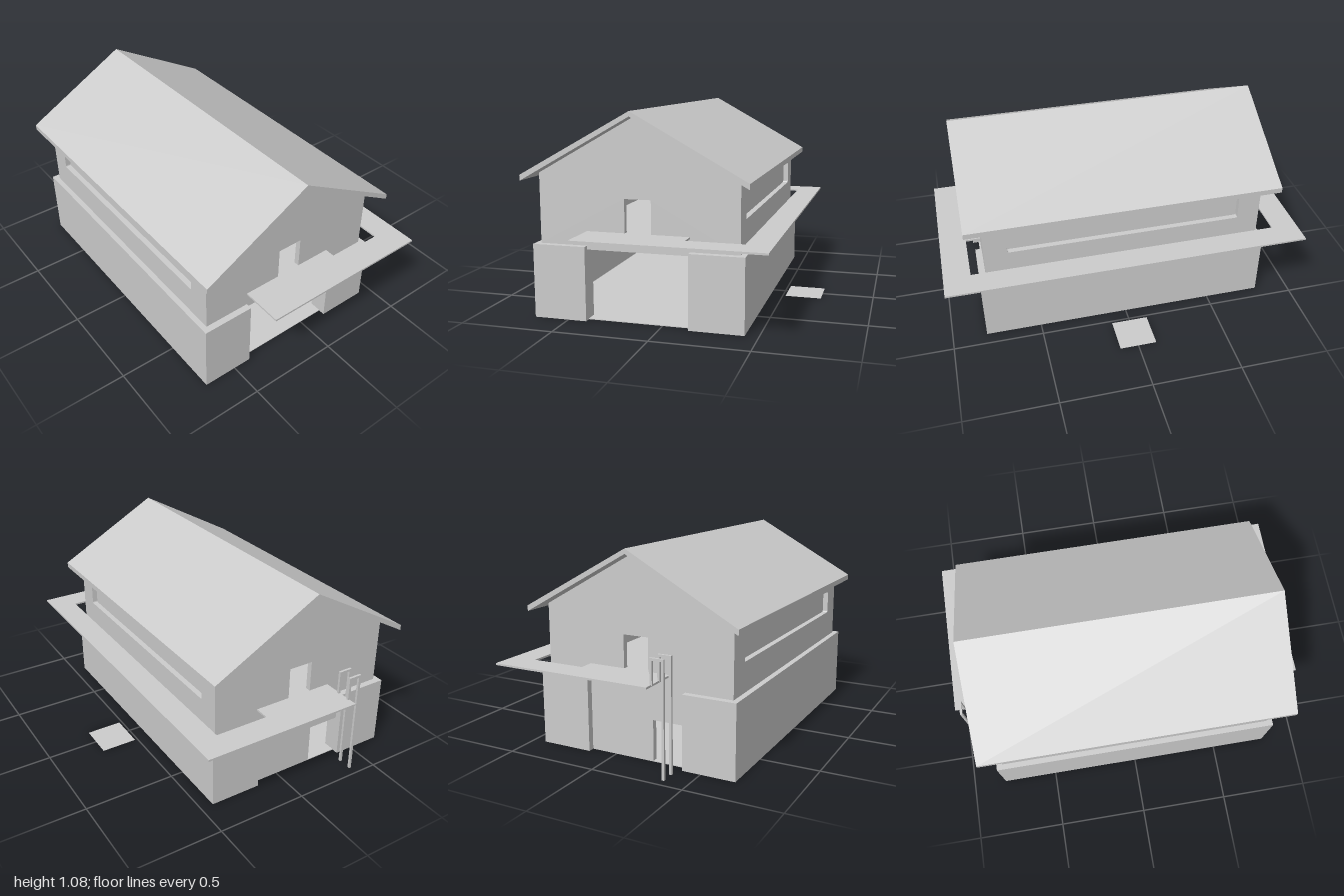
import * as THREE from 'three';

const mat = new THREE.MeshStandardMaterial({ color: 0xcccccc, flatShading: true });
const thinMat = new THREE.MeshStandardMaterial({ color: 0xcccccc, side: THREE.DoubleSide });

const RIDGE_X = -0.128;
const WALL = { x0: -0.655, x1: 0.4, y0: 0.39, eave: 0.757, peak: 1.055, z: 0.775 };
const BASE = { x0: -0.685, x1: 0.43, h: 0.39, z: 0.81 };
const BAY = { x0: -0.4, x1: 0.145 };
const T = 0.03; // wall thickness

function add(parent, name, geometry, material = mat) {
  const mesh = new THREE.Mesh(geometry, material);
  mesh.name = name;
  parent.add(mesh);
  return mesh;
}

// Box given by its minimum and maximum on each axis
function box(parent, name, x0, x1, y0, y1, z0, z1) {
  const mesh = add(parent, name, new THREE.BoxGeometry(x1 - x0, y1 - y0, z1 - z0));
  mesh.position.set((x0 + x1) / 2, (y0 + y1) / 2, (z0 + z1) / 2);
  return mesh;
}

function outline(points, Type = THREE.Shape) {
  return new Type(points.map(([x, y]) => new THREE.Vector2(x, y)));
}

// Extrude an outline along z, from z0 to z1
function prism(parent, name, shape, z0, z1) {
  const geometry = new THREE.ExtrudeGeometry(shape, { depth: z1 - z0, bevelEnabled: false, curveSegments: 4 });
  geometry.translate(0, 0, z0);
  return add(parent, name, geometry);
}

function rect(x0, x1, y0, y1) {
  return [[x0, y0], [x1, y0], [x1, y1], [x0, y1]];
}

function roundedHole(x0, x1, y0, y1, r) {
  const p = new THREE.Path();
  p.moveTo(x0 + r, y0);
  p.lineTo(x1 - r, y0).quadraticCurveTo(x1, y0, x1, y0 + r);
  p.lineTo(x1, y1 - r).quadraticCurveTo(x1, y1, x1 - r, y1);
  p.lineTo(x0 + r, y1).quadraticCurveTo(x0, y1, x0, y1 - r);
  p.lineTo(x0, y0 + r).quadraticCurveTo(x0, y0, x0 + r, y0);
  return p;
}

// Lower storey: open bay at the front, walled bay with a doorway at the back
function lowerStorey() {
  const g = new THREE.Group();
  g.name = 'lowerStorey';
  const { x0, x1, h, z } = BASE;
  box(g, 'groundFloor', x0 + 0.002, x1 - 0.002, 0, 0.004, -WALL.z, WALL.z);
  box(g, 'ceilingSlab', x0 + T, x1 - T, h - 0.02, h, -WALL.z, WALL.z);
  box(g, 'rightSideWall', x0, x0 + T, 0, h, -z, z);
  box(g, 'leftSideWall', x1 - T, x1, 0, h, -z, z);
  for (const s of [1, -1]) {
    const z0 = s > 0 ? z - 0.1 : -z;
    box(g, 'pier', x0 + T, BAY.x0, 0, h, z0, z0 + 0.1);
    box(g, 'pier', BAY.x1, x1 - T, 0, h, z0, z0 + 0.1);
  }
  const backWall = outline([
    [-0.22, 0], [BAY.x1, 0], [BAY.x1, h], [BAY.x0, h], [BAY.x0, 0.22], [-0.22, 0.22],
  ]);
  prism(g, 'backWall', backWall, -WALL.z, -WALL.z + T);
  return g;
}

// Upper storey: gable walls with doorways, side walls with recessed strip windows
function upperStorey() {
  const g = new THREE.Group();
  g.name = 'upperStorey';
  const { x0, x1, y0, eave, peak, z } = WALL;
  const gable = outline([[x0, y0], [x1, y0], [x1, eave], [RIDGE_X, peak], [x0, eave]]);
  gable.holes.push(outline(rect(-0.195, -0.055, 0.465, 0.64), THREE.Path));
  prism(g, 'frontGable', gable, z - T, z);
  prism(g, 'backGable', gable, -z, -z + T);

  const inner = z - T;
  const side = outline(rect(-inner, inner, y0, eave));
  side.holes.push(roundedHole(-0.65, 0.65, 0.545, 0.675, 0.01));
  for (const s of [1, -1]) {
    const wall = prism(g, s > 0 ? 'leftWall' : 'rightWall', side, -T, 0);
    wall.rotation.y = s * Math.PI / 2;
    wall.position.x = s > 0 ? x1 : x0;
    const paneX = s > 0 ? x1 - T - 0.01 : x0 + T;
    box(g, 'windowPane', paneX, paneX + 0.01, 0.52, 0.7, -0.68, 0.68);
  }
  return g;
}

// Walkway wrapping the front, one side and the back, wider at the doorways
function walkway() {
  const shape = outline([
    [-0.4, -1], [0.577, -1], [0.577, 1], [-0.315, 1],
    [-0.315, 0.775], [BAY.x1, 0.775], [BAY.x1, 0.855], [0.44, 0.855],
    [0.44, -0.855], [BAY.x1, -0.855], [BAY.x1, -0.775], [-0.4, -0.775],
  ]);
  const geometry = new THREE.ExtrudeGeometry(shape, { depth: 0.01, bevelEnabled: false });
  geometry.rotateX(-Math.PI / 2);
  const mesh = new THREE.Mesh(geometry, mat);
  mesh.name = 'walkway';
  mesh.position.y = 0.456;
  return mesh;
}

// Pair of hooked rails rising past the back of the walkway
function ladderRails() {
  const g = new THREE.Group();
  g.name = 'ladderRails';
  const w = 0.013;
  for (const z of [-0.872, -0.946]) {
    const z0 = z - w / 2, z1 = z + w / 2;
    box(g, 'railPost', -0.38, -0.38 + w, 0, 0.595, z0, z1);
    box(g, 'railTop', -0.38 + w, -0.305, 0.595 - w, 0.595, z0, z1);
    box(g, 'railEnd', -0.305 - w, -0.305, 0.46, 0.595 - w, z0, z1);
  }
  return g;
}

export function createModel() {
  const model = new THREE.Group();
  model.name = 'house';
  model.add(lowerStorey(), upperStorey(), walkway(), ladderRails());

  // Gabled roof slab
  const roof = outline([
    [-0.716, 0.725], [RIDGE_X, 1.055], [0.462, 0.725],
    [0.462, 0.755], [RIDGE_X, 1.081], [-0.716, 0.755],
  ]);
  prism(model, 'roof', roof, -0.868, 0.868);

  // Thin ground slab beside the house
  const slab = add(model, 'groundSlab', new THREE.PlaneGeometry(0.2, 0.206), thinMat);
  slab.rotation.x = -Math.PI / 2;
  slab.position.set(0.616, 0.001, 0);
  return model;
}
